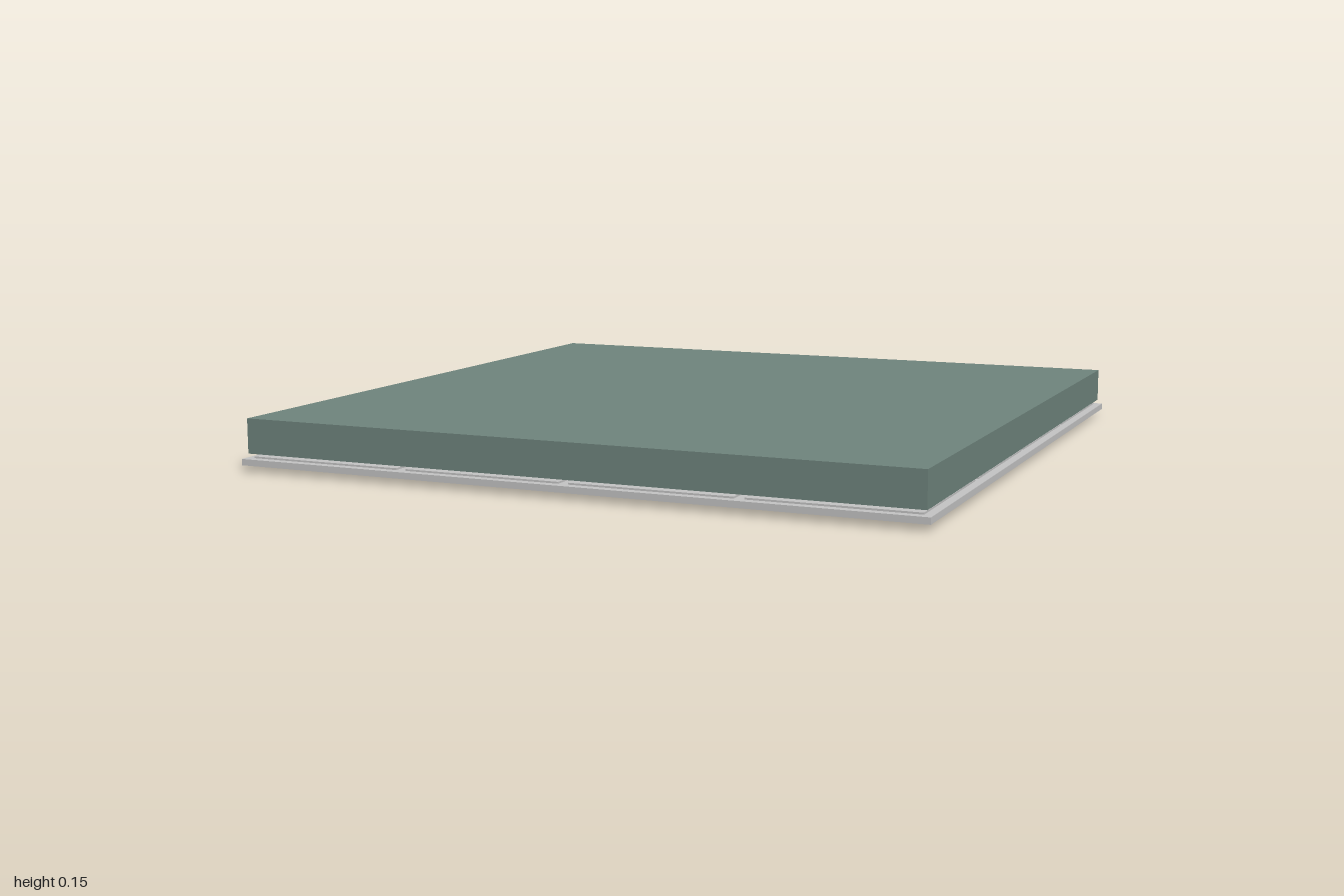
import * as THREE from 'three';

const green = new THREE.MeshStandardMaterial({ color: 0x70867e });
green.name = 'mutedGreen';
const grey = new THREE.MeshStandardMaterial({ color: 0xc6c6c6 });
grey.name = 'lightGrey';

const PITCH = 0.495;   // spacing of the tile grid
const HALF = 0.233;    // half width of a tile

function box(name, mat, x0, x1, y0, y1, z0, z1) {
  const m = new THREE.Mesh(new THREE.BoxGeometry(x1 - x0, y1 - y0, z1 - z0), mat);
  m.position.set((x0 + x1) / 2, (y0 + y1) / 2, (z0 + z1) / 2);
  m.name = name;
  return m;
}

// Flat plate from an outline of [x, z] points
function plate(name, mat, outline, y0, y1, holes = []) {
  const toPoints = pts => pts.map(([x, z]) => new THREE.Vector2(x, -z));
  const shape = new THREE.Shape(toPoints(outline));
  holes.forEach(h => shape.holes.push(new THREE.Path(toPoints(h))));
  const geo = new THREE.ExtrudeGeometry(shape, { depth: y1 - y0, bevelEnabled: false });
  geo.rotateX(-Math.PI / 2);
  const m = new THREE.Mesh(geo, mat);
  m.position.y = y0;
  m.name = name;
  return m;
}

const square = (cx, cz, h) => [[cx - h, cz - h], [cx + h, cz - h], [cx + h, cz + h], [cx - h, cz + h]];

export function createModel() {
  const group = new THREE.Group();
  group.name = 'tiledSlab';

  // Thick top slab
  group.add(box('topSlab', green, -0.987, 0.987, 0.05, 0.15, -0.987, 0.987));

  // Tiles set in a lattice, two cells left open
  const open = new Set(['2,0', '0,2']);
  const cells = [];
  const tiles = new THREE.Group();
  tiles.name = 'tiles';
  for (let i = 0; i < 4; i++) {
    for (let j = 0; j < 4; j++) {
      const x = (i - 1.5) * PITCH, z = (j - 1.5) * PITCH;
      cells.push(square(x, z, HALF));
      if (!open.has(`${i},${j}`)) {
        tiles.add(box('tile', grey, x - HALF, x + HALF, 0.014, 0.041, z - HALF, z + HALF));
      }
    }
  }
  group.add(tiles);
  group.add(plate('lattice', grey, square(0, 0, 1), 0.018, 0.036, cells));

  // Lowered plates on the underside
  group.add(plate('lowerAnglePlate', grey,
    [[0.01, -0.47], [0.64, -0.47], [0.64, 0.47], [0.34, 0.47], [0.34, 0], [0.01, 0]], 0, 0.014));
  group.add(box('lowerBarPlate', grey, -0.64, -0.35, 0, 0.014, -0.47, 0.47));
  group.add(box('lowerCornerPlate', grey, 0.51, 0.97, 0, 0.014, -0.97, -0.51));

  return group;
}
